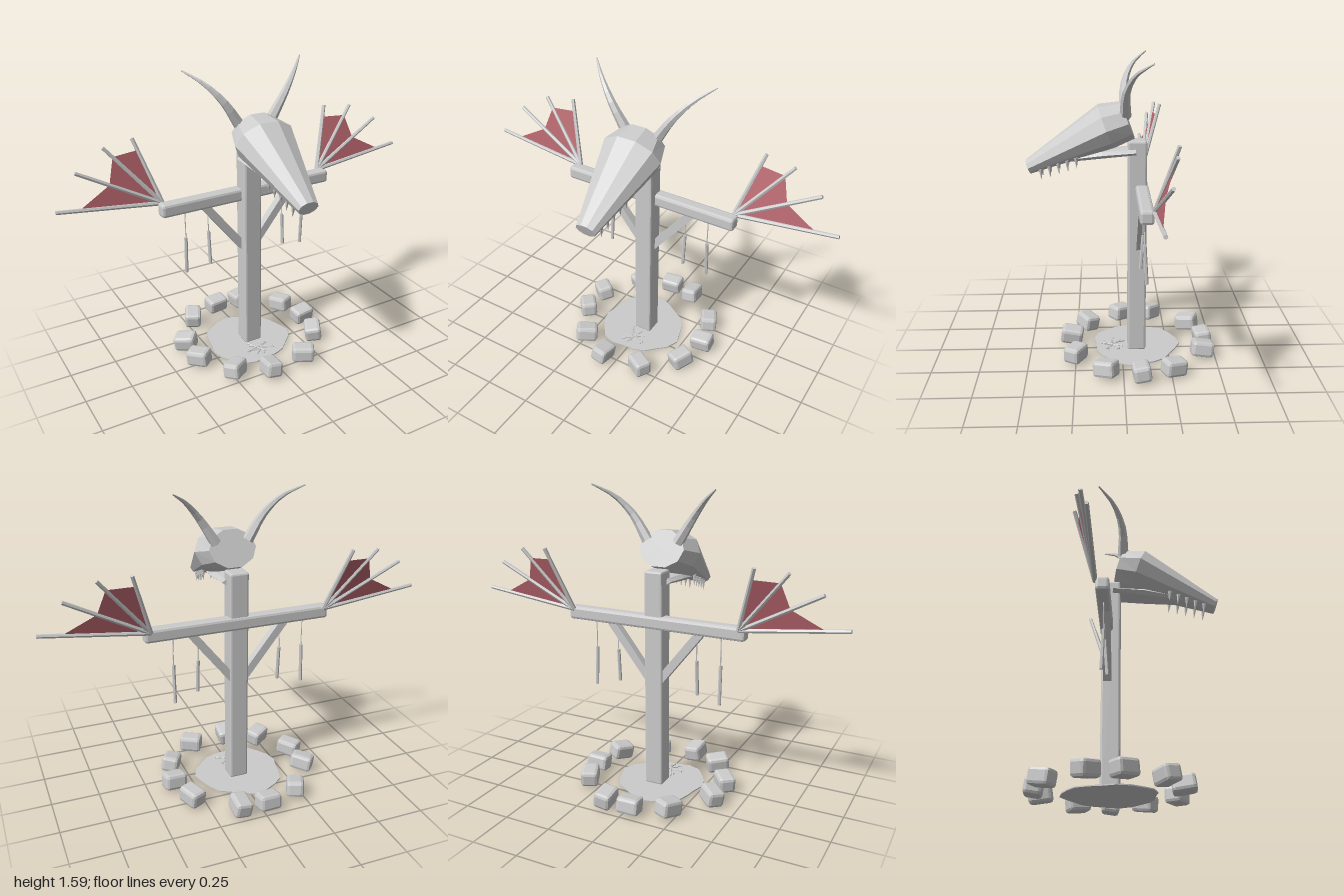
import * as THREE from 'three';
import { RoundedBoxGeometry } from 'three/addons/geometries/RoundedBoxGeometry.js';

const V = (x, y, z) => new THREE.Vector3(x, y, z);
const grey = new THREE.MeshStandardMaterial({ color: 0xcccccc, flatShading: true });
const greyThin = new THREE.MeshStandardMaterial({ color: 0xcccccc, flatShading: true, side: THREE.DoubleSide });
const red = new THREE.MeshStandardMaterial({ color: 0xb5646c, flatShading: true, side: THREE.DoubleSide });

function add(parent, name, geometry, material = grey) {
  const mesh = new THREE.Mesh(geometry, material);
  mesh.name = name;
  parent.add(mesh);
  return mesh;
}

// Place a mesh modelled along y so that it spans from a to b
function span(mesh, a, b) {
  mesh.position.copy(a).add(b).multiplyScalar(0.5);
  mesh.quaternion.setFromUnitVectors(V(0, 1, 0), b.clone().sub(a).normalize());
  return mesh;
}
const rod = (parent, name, a, b, r0, r1 = r0, sides = 6) =>
  span(add(parent, name, new THREE.CylinderGeometry(r1, r0, a.distanceTo(b), sides)), a, b);

function block(parent, name, w, h, d, x, y, z, bevel = 0.01) {
  const mesh = add(parent, name, new RoundedBoxGeometry(w, h, d, 1, bevel));
  mesh.position.set(x, y, z);
  return mesh;
}

// Closed loft through elliptical sections [z, y, halfWidth, halfHeight], ordered back to front
function loft(sections, sides, tilt) {
  const rings = sections.map(([z, y, w, h]) => Array.from({ length: sides }, (_, j) => {
    const a = (j / sides) * Math.PI * 2, up = Math.sin(a) * h;
    return V(Math.cos(a) * w, y + up * Math.cos(tilt), z + up * Math.sin(tilt));
  }));
  const first = V(0, sections[0][1], sections[0][0]);
  const end = sections.at(-1), last = V(0, end[1], end[0]);
  const pts = [];
  for (let j = 0; j < sides; j++) {
    const k = (j + 1) % sides;
    pts.push(first, rings[0][k], rings[0][j], last, rings.at(-1)[j], rings.at(-1)[k]);
    for (let i = 0; i < rings.length - 1; i++) {
      const [a, b, c, d] = [rings[i][j], rings[i][k], rings[i + 1][k], rings[i + 1][j]];
      pts.push(a, b, c, a, c, d);
    }
  }
  const g = new THREE.BufferGeometry().setFromPoints(pts);
  g.computeVertexNormals();
  return g;
}

// Tube whose radius shrinks toward its tip
function taperedTube(points, radius, tipScale, segments, sides) {
  const curve = new THREE.CatmullRomCurve3(points);
  const g = new THREE.TubeGeometry(curve, segments, radius, sides);
  const p = g.attributes.position, v = V(0, 0, 0);
  for (let i = 0; i < p.count; i++) {
    const t = Math.floor(i / (sides + 1)) / segments;
    const c = curve.getPointAt(t);
    v.fromBufferAttribute(p, i).sub(c).multiplyScalar(1 - t * (1 - tipScale)).add(c);
    p.setXYZ(i, v.x, v.y, v.z);
  }
  g.computeVertexNormals();
  return g;
}

function buildSkull() {
  const skull = new THREE.Group();
  skull.name = 'skull';
  add(skull, 'cranium', loft([
    [-0.03, 1.288, 0.125, 0.1], [0.08, 1.258, 0.165, 0.117], [0.478, 1.05, 0.055, 0.038],
  ], 10, 0.37));
  add(skull, 'lowerJaw', loft([
    [-0.07, 1.13, 0.075, 0.02], [0.1, 1.117, 0.07, 0.025], [0.33, 1.085, 0.035, 0.018],
  ], 8, 0.1));
  for (const s of [-1, 1]) {
    add(skull, 'horn', taperedTube([
      V(s * 0.085, 1.32, -0.015), V(s * 0.17, 1.45, -0.018), V(s * 0.25, 1.54, -0.06), V(s * 0.333, 1.6, -0.137),
    ], 0.03, 0.12, 8, 6), greyThin);
    // Teeth along the upper jaw
    for (let i = 0; i < 5; i++) {
      const z = 0.415 - i * 0.045, y = 1.045 + i * 0.016, x = s * (0.042 + i * 0.006);
      rod(skull, 'tooth', V(x, y, z), V(x, y - 0.055, z - 0.006), 0.011, 0.001, 5);
    }
  }
  return skull;
}

// Fan of bones with a torn membrane between them
function buildWing(s) {
  const wing = new THREE.Group();
  wing.name = s > 0 ? 'leftWing' : 'rightWing';
  const root = V(s * 0.465, 0.945, -0.137);
  const tips = [[1, 1.01, -0.14], [0.88, 1.17, -0.18], [0.725, 1.26, -0.212], [0.567, 1.275, -0.235]]
    .map(([x, y, z]) => V(s * x, y, z));
  const reach = [0.79, 0.62, 0.84, 0.82];
  const rim = tips.map((t, i) => root.clone().lerp(t, reach[i]));
  tips.forEach(t => rod(wing, 'wingBone', root, t, 0.012, 0.01));
  const pts = [];
  for (let i = 0; i < 3; i++) pts.push(root, rim[i], rim[i + 1]);
  const g = new THREE.BufferGeometry().setFromPoints(pts);
  g.computeVertexNormals();
  add(wing, 'wingMembrane', g, red);
  return wing;
}

export function createModel() {
  const model = new THREE.Group();
  model.name = 'skullTotem';

  // Post, crossbeam and diagonal braces
  block(model, 'post', 0.1, 1.165, 0.097, 0, 0.603, -0.079);
  block(model, 'crossbeam', 0.99, 0.07, 0.068, 0, 0.922, -0.102, 0.014);
  for (const s of [-1, 1]) {
    const a = V(s * 0.02, 0.6, -0.095), b = V(s * 0.265, 0.91, -0.095);
    span(add(model, 'brace', new THREE.BoxGeometry(0.042, a.distanceTo(b), 0.042)), a, b);
    model.add(buildWing(s));
  }
  model.add(buildSkull());

  // Hanging chimes: x, top, bottom, sway
  for (const [x, top, bottom, sway] of [
    [-0.363, 0.742, 0.535, -0.008], [-0.233, 0.748, 0.56, 0.014], [0.217, 0.745, 0.567, 0.012], [0.347, 0.742, 0.535, -0.012],
  ]) {
    rod(model, 'chimeString', V(x, 0.89, -0.1), V(x, top, -0.1), 0.003, 0.003, 4);
    rod(model, 'chime', V(x, top, -0.1), V(x, bottom, -0.1 + sway), 0.009);
  }

  // Irregular patch of ash
  const ash = new THREE.CylinderGeometry(0.23, 0.23, 0.006, 22);
  const p = ash.attributes.position;
  for (let i = 0; i < p.count; i++) {
    const a = Math.atan2(p.getZ(i), p.getX(i));
    const k = 1 + 0.05 * Math.sin(3 * a + 1) + 0.035 * Math.sin(7 * a);
    p.setXYZ(i, p.getX(i) * k, p.getY(i), p.getZ(i) * k);
  }
  ash.computeVertexNormals();
  add(model, 'ashPatch', ash).position.set(-0.02, 0.022, -0.075);

  // Twigs of the burnt-out fire
  for (let i = 0; i < 6; i++) {
    const a = i * 0.52 + 0.2, dx = Math.cos(a) * 0.075, dz = Math.sin(a) * 0.06;
    const x = -0.01 + 0.015 * Math.sin(i * 2.3), z = 0.05 + 0.012 * Math.cos(i * 1.7);
    rod(model, 'twig', V(x - dx, 0.029, z - dz), V(x + dx, 0.034, z + dz), 0.005, 0.004, 5);
  }

  // Ring of stones: x, z, yaw in degrees
  [
    [-0.215, -0.38, 65], [-0.03, -0.445, 5], [0.115, -0.43, 92], [0.315, -0.26, 115], [0.36, -0.09, 5], [0.32, 0.09, 60],
    [0.15, 0.25, -30], [-0.07, 0.275, 85], [-0.24, 0.19, 35], [-0.36, 0, -50], [-0.36, -0.17, -40],
  ].forEach(([x, z, yaw], i) => {
    const stone = block(model, 'stone', 0.12, 0.085, 0.092, x, 0.064, z, 0.017);
    stone.rotation.set(0.16 * Math.sin(i * 2.1), yaw * Math.PI / 180, 0.16 * Math.cos(i * 1.3), 'YXZ');
  });
  return model;
}
